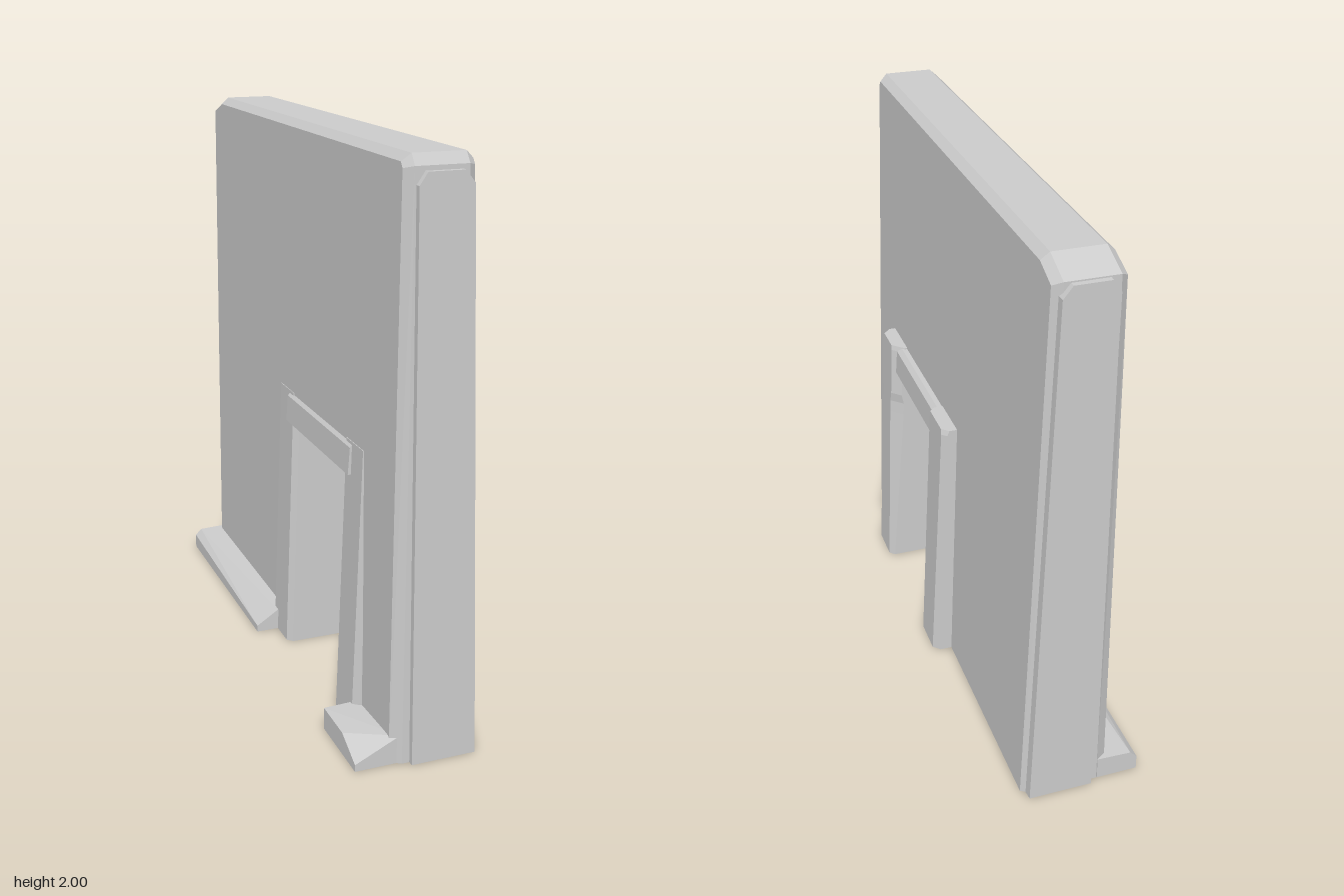
import * as THREE from 'three';
import { ConvexGeometry } from 'three/addons/geometries/ConvexGeometry.js';

const material = new THREE.MeshStandardMaterial({ color: 0xcccccc, flatShading: true });

function part(name, geometry) {
  const mesh = new THREE.Mesh(geometry, material);
  mesh.name = name;
  return mesh;
}

const hull = (points) => new ConvexGeometry(points.map((p) => new THREE.Vector3(...p)));

// Joins rings of [x, y, z] (anticlockwise from above, bottom to top) into a closed solid.
function loft(rings) {
  const n = rings[0].length;
  const index = [];
  for (let r = 0; r < rings.length - 1; r++) {
    for (let i = 0; i < n; i++) {
      const j = (i + 1) % n;
      const a = r * n + i, b = r * n + j;
      index.push(a, b, b + n, a, b + n, a + n);
    }
  }
  const top = (rings.length - 1) * n;
  for (let i = 1; i < n - 1; i++) {
    index.push(0, i + 1, i, top, top + i, top + i + 1);
  }
  const geometry = new THREE.BufferGeometry();
  geometry.setAttribute('position', new THREE.Float32BufferAttribute(rings.flat(2), 3));
  geometry.setIndex(index);
  const flat = geometry.toNonIndexed();
  flat.computeVertexNormals();
  return flat;
}

// Bevelled slab with a doorway, leaning in towards the top
function wallGeometry() {
  const outline = [
    [-0.975, 0], [-0.57, 0], [-0.57, 0.93], [0, 0.93], [0, 0], [0.975, 0],
    [0.975, 1.955], [0.86, 2], [-0.95, 2], [-0.975, 1.965],
  ];
  const shape = new THREE.Shape(outline.map((p) => new THREE.Vector2(...p)));
  const bevel = 0.12;
  const geometry = new THREE.ExtrudeGeometry(shape, {
    depth: 1 - 2 * bevel, bevelThickness: bevel, bevelSize: 0.025, bevelOffset: -0.025, bevelSegments: 1,
  });
  geometry.translate(0, 0, bevel);
  geometry.rotateY(Math.PI / 2);
  const pos = geometry.attributes.position;
  for (let i = 0; i < pos.count; i++) {
    const y = pos.getY(i) < 0.05 ? 0 : pos.getY(i);
    const left = -0.135 + 0.0075 * y;
    const right = 0.18 - 0.034 * y;
    pos.setXYZ(i, THREE.MathUtils.lerp(left, right, pos.getX(i)), y, pos.getZ(i));
  }
  geometry.computeVertexNormals();
  return geometry;
}

// Door post from rows of [y, outer chamfer, inner chamfer]; side +1 is the front post
function postGeometry(outerZ, innerZ, side, rows) {
  return loft(rows.map(([y, outer, inner]) => {
    const l = -0.165 + 0.035 * y, r = 0.25 - 0.05 * y;
    const z1 = Math.max(outerZ, innerZ), z0 = Math.min(outerZ, innerZ);
    const c1 = side > 0 ? outer : inner, c0 = side > 0 ? inner : outer;
    return [
      [l + 0.02, y, z1], [r - c1, y, z1], [r, y, z1 - c1], [r, y, z0 + c0],
      [r - c0, y, z0], [l + 0.02, y, z0], [l, y, z0 + 0.02], [l, y, z1 - 0.02],
    ];
  }));
}

export function createModel() {
  const model = new THREE.Group();
  model.name = 'wallWithDoorway';
  model.add(part('wall', wallGeometry()));

  // Raised plates on the two narrow ends
  for (const s of [1, -1]) {
    const face = [[-0.072, 0], [0.165, 0], [0.098, 1.91], [0.065, 1.95], [-0.06, 1.95], [-0.088, 1.91]];
    const points = face.flatMap(([x, y]) => [[x, y, s * 0.94], [x * 0.97, y, s * 0.995]]);
    model.add(part(s > 0 ? 'frontEndPlate' : 'backEndPlate', hull(points)));
  }

  // Door frame, the front post chipped part way up
  const frame = new THREE.Group();
  frame.name = 'doorFrame';
  frame.add(part('frontPost', postGeometry(0.715, 0.53, 1, [
    [0, 0.025, 0.02], [0.7, 0.022, 0.045], [0.75, 0.045, 0.045], [0.79, 0.018, 0.035],
    [0.985, 0.02, 0.04], [1.005, 0.03, 0.045],
  ])));
  frame.add(part('backPost', postGeometry(-0.14, 0.04, -1, [
    [0, 0.025, 0.02], [0.985, 0.018, 0.015], [1.005, 0.025, 0.02],
  ])));
  const lintel = [[-0.145, 0.89], [0.19, 0.89], [0.183, 0.985], [0.165, 1], [-0.125, 1], [-0.138, 0.985]];
  frame.add(part('lintel', hull(lintel.flatMap(([x, y]) => [[x, y, -0.02], [x, y, 0.6]]))));
  model.add(frame);

  // Low ledges along the foot of the right side
  model.add(part('frontLedge', hull([
    [-0.26, 0, 0.68], [-0.1, 0, 0.68], [-0.26, 0, 0.965], [-0.1, 0, 0.965],
    [-0.26, 0.08, 0.68], [-0.1, 0.085, 0.68], [-0.26, 0.08, 0.85],
    [-0.26, 0.025, 0.965], [-0.19, 0.055, 0.965], [-0.1, 0.1, 0.965],
  ])));
  model.add(part('backLedge', hull([
    [-0.25, 0, -0.975], [-0.1, 0, -0.975], [-0.25, 0, -0.085], [-0.1, 0, -0.085],
    [-0.25, 0.055, -0.975], [-0.225, 0.08, -0.975], [-0.1, 0.085, -0.975],
    [-0.25, 0.025, -0.085], [-0.165, 0.08, -0.085], [-0.1, 0.085, -0.085],
  ])));

  return model;
}
